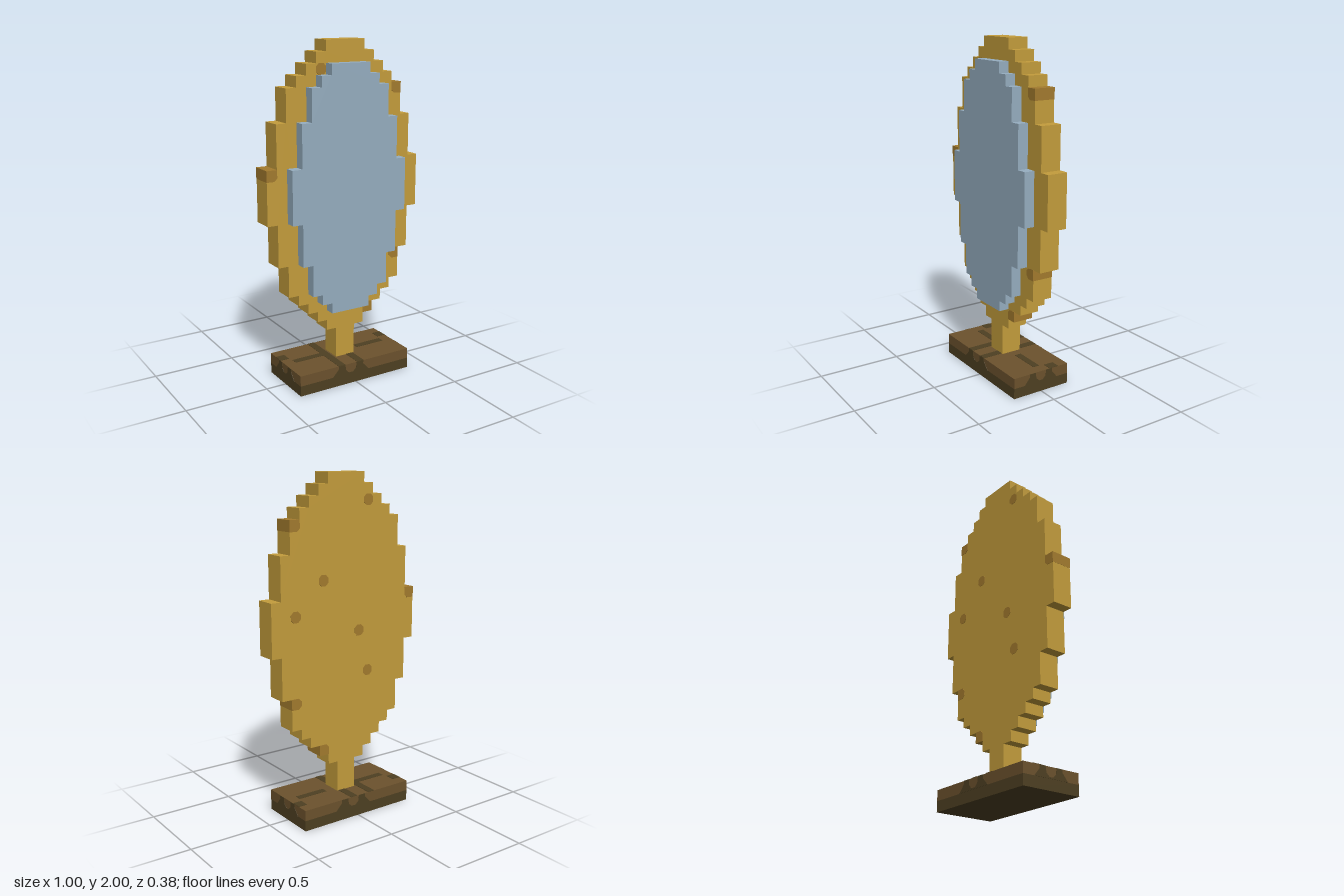
import * as THREE from 'three';

const U = 1 / 16; // one block

const mat = (name, color, extra = {}) => {
  const m = new THREE.MeshStandardMaterial({ color, ...extra });
  m.name = name;
  return m;
};

// Stepped symmetric outline from rows of [bottom, top, halfWidth] in blocks
function steppedShape(rows) {
  const right = [];
  for (const [y0, y1, w] of rows) right.push([w, y0], [w, y1]);
  const left = right.map(([x, y]) => [-x, y]).reverse();
  return new THREE.Shape([...right, ...left].map(([x, y]) => new THREE.Vector2(x * U, y * U)));
}

function extrude(shape, depth) {
  return new THREE.ExtrudeGeometry(shape, { depth, bevelEnabled: false });
}

export function createModel() {
  const gold = mat('gold', 0xc49d3c);
  const darkGold = mat('dark gold', 0xa37b2e);
  const brown = mat('wood brown', 0x6c522d);
  const darkBrown = mat('dark wood brown', 0x4e4022);
  const glassBlue = mat('glass blue', 0x96aec0);

  const model = new THREE.Group();
  model.name = 'standingMirror';
  const add = (name, geometry, material, x = 0, y = 0, z = 0, parent = model) => {
    const mesh = new THREE.Mesh(geometry, material);
    mesh.name = name;
    mesh.position.set(x, y, z);
    parent.add(mesh);
    return mesh;
  };

  // Oval frame with its stem
  const frameRows = [
    [2, 5, 1], [5, 6, 2], [6, 7, 3], [7, 8, 4], [8, 9, 5], [9, 12, 6], [12, 16, 7], [16, 21, 8],
    [21, 25, 7], [25, 28, 6], [28, 29, 5], [29, 30, 4], [30, 31, 3], [31, 32, 2],
  ];
  add('frame', extrude(steppedShape(frameRows), 2 * U), gold, 0, 0, -U);

  // Raised glass on the front
  const glassRows = [
    [7, 8, 2], [8, 9, 3], [9, 12, 4], [12, 16, 5], [16, 21, 6],
    [21, 25, 5], [25, 28, 4], [28, 29, 3], [29, 30, 2],
  ];
  add('glass', extrude(steppedShape(glassRows), U), glassBlue, 0, 0, U);

  // Tarnish spots running through the frame; corners cut in the order bl, br, tr, tl
  const spots = new THREE.Group();
  spots.name = 'tarnishSpots';
  model.add(spots);
  const corners = [[-1, -1], [1, -1], [1, 1], [-1, 1]];
  function spot(col, row, cut = '1111') {
    const h = U / 2 + 0.001, c = 0.018, pts = [];
    corners.forEach(([sx, sy], i) => {
      const x = sx * h, y = sy * h;
      if (cut[i] === '0') return pts.push(new THREE.Vector2(x, y));
      const a = new THREE.Vector2(x - sx * c, y), b = new THREE.Vector2(x, y - sy * c);
      pts.push(...(sx * sy > 0 ? [b, a].reverse() : [b, a]));
      if (sx * sy > 0 && i === 0) pts.push(...pts.splice(-2).reverse());
      return 0;
    });
    // keep the outline in angular order
    pts.sort((p, q) => Math.atan2(p.y, p.x) - Math.atan2(q.y, q.x));
    add('tarnishSpot', extrude(new THREE.Shape(pts), 2 * U + 0.004), darkGold,
      (col + 0.5) * U, (row + 0.5) * U, -U - 0.002, spots);
  }
  spot(5, 27, '1000');
  spot(-8, 20, '0100');
  spot(5, 11, '1001');
  spot(2, 6, '0001');
  for (const [c, r] of [[-3, 29], [2, 22], [5, 19], [-2, 17], [-3, 13]]) spot(c, r);

  // Base: dark lower layer, lighter upper layer
  add('baseLower', new THREE.BoxGeometry(12 * U, U, 6 * U), darkBrown, 0, U / 2, 0);
  add('baseUpper', new THREE.BoxGeometry(12 * U, U, 6 * U), brown, 0, 1.5 * U, 0);

  // Grain rising up the base sides: two columns with a scallop between them
  const T = 0.002;
  function grain(x0, x1, x2, x3, run) {
    const y0 = U, y1 = 2 * U, m = U + 0.008;
    const p = [
      [x0 - run, y0], [x3 + run, y0], [x3, y1 - 0.02], [x3, y1], [x2, y1], [x2 - 0.005, y1 - 0.035],
      [x2 - 0.025, m], [x1 + 0.025, m], [x1 + 0.005, y1 - 0.035], [x1, y1], [x0, y1], [x0, y1 - 0.02],
    ];
    return extrude(new THREE.Shape(p.map(([x, y]) => new THREE.Vector2(x, y))), T);
  }
  const longGrain = grain(-0.12, -0.075, 0.005, 0.05, 0.04);
  const shortGrain = grain(-0.08, -0.04, 0.035, 0.075, 0.035);
  add('frontGrain', longGrain, darkBrown, 0, 0, 3 * U);
  add('backGrain', longGrain, darkBrown, 0, 0, -3 * U).rotation.y = Math.PI;
  add('leftGrain', shortGrain, darkBrown, 6 * U, 0, 0).rotation.y = Math.PI / 2;
  add('rightGrain', shortGrain, darkBrown, -6 * U, 0, 0).rotation.y = -Math.PI / 2;

  // Grain across the top of the base
  const top = 2 * U + T / 2;
  for (const x of [-0.0975, 0.03]) {
    add('topGrain', new THREE.BoxGeometry(0.045, T, 6 * U), darkBrown, x, top, 0);
  }
  for (const s of [-1, 1]) {
    add('edgeGrain', new THREE.BoxGeometry(0.055, T, 0.06), darkBrown, s * 0.3475, top, -0.09);
    add('streakGrain', new THREE.BoxGeometry(0.19, T, 0.04), darkBrown, s * 0.215, top, -0.01);
  }
  return model;
}
